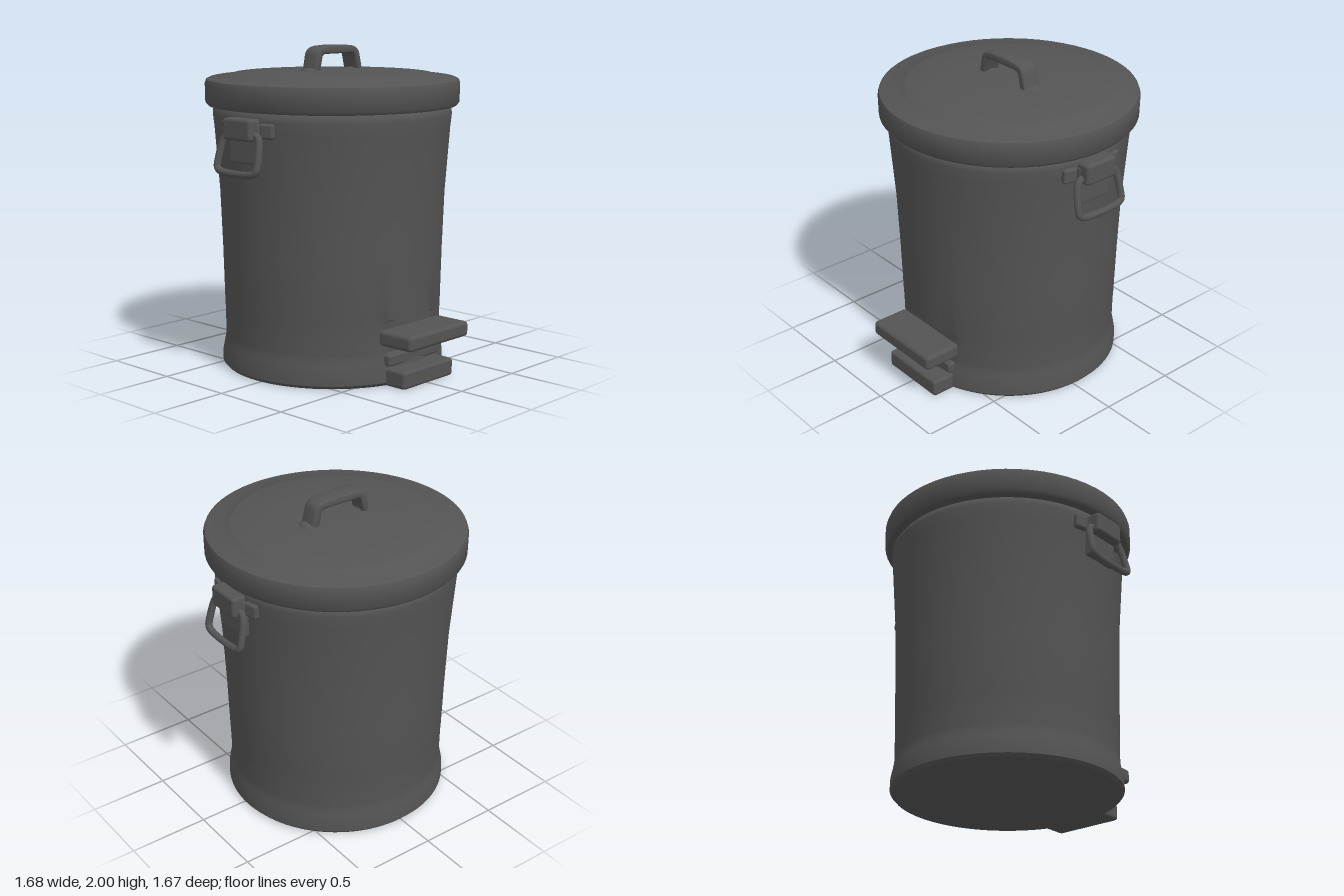
import * as THREE from 'three';
import { toCreasedNormals } from 'three/addons/utils/BufferGeometryUtils.js';
import { RoundedBoxGeometry } from 'three/addons/geometries/RoundedBoxGeometry.js';

const CZ = -0.05; // the bin's axis sits slightly behind the origin, the pedal in front

export function createModel() {
  const model = new THREE.Group();
  model.name = 'pedalBin';
  const metal = new THREE.MeshStandardMaterial({ color: 0x545454 });
  metal.name = 'dark grey metal';

  const add = (parent, name, geometry, x = 0, y = 0, z = 0) => {
    const mesh = new THREE.Mesh(geometry, metal);
    mesh.name = name;
    mesh.position.set(x, y, z);
    parent.add(mesh);
    return mesh;
  };
  const lathe = (points, segments) =>
    new THREE.LatheGeometry(points.map(([r, y]) => new THREE.Vector2(r, y)), segments);
  const block = (w, h, d, r) => new RoundedBoxGeometry(w, h, d, 2, r);

  // Tapered body with a flared foot and a rolled neck
  const body = lathe([
    [0, 0], [0.68, 0], [0.698, 0.02], [0.697, 0.08], [0.685, 0.14], [0.677, 0.185], [0.677, 0.195],
    [0.678, 0.3], [0.68, 0.385], [0.681, 0.395], [0.69, 0.75], [0.703, 1.1], [0.718, 1.3],
    [0.733, 1.5], [0.742, 1.58], [0.74, 1.61], [0.725, 1.63], [0, 1.64],
  ], 96);
  // Flat recess behind the pedal
  const pos = body.attributes.position;
  for (let i = 0; i < pos.count; i++) {
    const y = pos.getY(i);
    if (y > 0.19 && y < 0.39 && Math.abs(pos.getX(i)) < 0.235 && pos.getZ(i) > 0) {
      pos.setZ(i, Math.min(pos.getZ(i), 0.59 - CZ));
    }
  }
  add(model, 'body', toCreasedNormals(body, 0.7), 0, 0, CZ);

  // Lid with a deep rim, a shallow step and a gently domed top
  const lid = lathe([
    [0, 1.63], [0.73, 1.63], [0.772, 1.635], [0.788, 1.655], [0.79, 1.77], [0.782, 1.793],
    [0.76, 1.803], [0.66, 1.806], [0.645, 1.818], [0.62, 1.826], [0.4, 1.84], [0.2, 1.85], [0, 1.853],
  ], 64);
  add(model, 'lid', toCreasedNormals(lid, 0.7), 0, 0, CZ);

  // Strap handle on the lid
  const strap = new THREE.Shape();
  strap.moveTo(-0.2, 0);
  strap.lineTo(-0.18, 0.1);
  strap.quadraticCurveTo(-0.17, 0.142, -0.11, 0.147);
  strap.quadraticCurveTo(0, 0.154, 0.11, 0.147);
  strap.quadraticCurveTo(0.17, 0.142, 0.18, 0.1);
  strap.lineTo(0.205, 0);
  strap.lineTo(0.175, 0);
  strap.lineTo(0.152, 0.095);
  strap.quadraticCurveTo(0.145, 0.117, 0.11, 0.119);
  strap.lineTo(-0.11, 0.119);
  strap.quadraticCurveTo(-0.145, 0.117, -0.152, 0.095);
  strap.lineTo(-0.175, 0);
  strap.closePath();
  const strapGeo = new THREE.ExtrudeGeometry(strap, {
    depth: 0.09, bevelThickness: 0.014, bevelSize: 0.01, bevelSegments: 2, curveSegments: 6,
  });
  add(model, 'lidHandle', toCreasedNormals(strapGeo, 0.8), 0, 1.838, CZ - 0.045);
  for (const s of [-1, 1]) {
    const foot = add(model, 'lidHandleFoot', new THREE.SphereGeometry(1, 16, 8), s * 0.2, 1.843, CZ);
    foot.scale.set(0.055, 0.022, 0.065);
  }

  // Side handles: bracket, lugs and a hanging ring leaning outwards
  const ringPath = new THREE.CatmullRomCurve3([
    [-0.1, 1.505], [0.1, 1.505], [0.135, 1.495], [0.153, 1.465], [0.17, 1.33], [0.165, 1.3],
    [0.13, 1.283], [-0.13, 1.283], [-0.165, 1.3], [-0.17, 1.33], [-0.153, 1.465], [-0.135, 1.495],
  ].map(([z, y]) => new THREE.Vector3(0.765 + (1.505 - y) * 0.24, y, z)), true);
  for (const s of [1, -1]) {
    const side = new THREE.Group();
    side.name = s > 0 ? 'leftHandle' : 'rightHandle';
    side.position.z = CZ;
    side.rotation.y = s > 0 ? 0 : Math.PI;
    add(side, 'ring', new THREE.TubeGeometry(ringPath, 72, 0.022, 8, true));
    add(side, 'bracket', block(0.1, 0.13, 0.23, 0.02), 0.768, 1.535, 0);
    add(side, 'backPlate', block(0.05, 0.24, 0.24, 0.012), 0.735, 1.45, 0);
    for (const z of [-0.17, 0.17]) {
      const lug = add(side, 'lug', block(0.05, 0.09, 0.09, 0.015), 0.72, 1.53, z);
      lug.rotation.y = -Math.sign(z) * 0.23;
    }
    model.add(side);
  }

  // Foot pedal, with its lever reaching into the recess
  add(model, 'pedal', block(0.55, 0.095, 0.25, 0.025), 0, 0.3, 0.71);
  add(model, 'pedalLever', block(0.44, 0.07, 0.12, 0.015), 0, 0.29, 0.6);
  // Ledge under the recess and the front foot
  add(model, 'recessLedge', block(0.46, 0.07, 0.1, 0.015), 0, 0.155, 0.585);
  add(model, 'frontFoot', block(0.46, 0.11, 0.25, 0.02), 0, 0.055, 0.627);

  return model;
}
